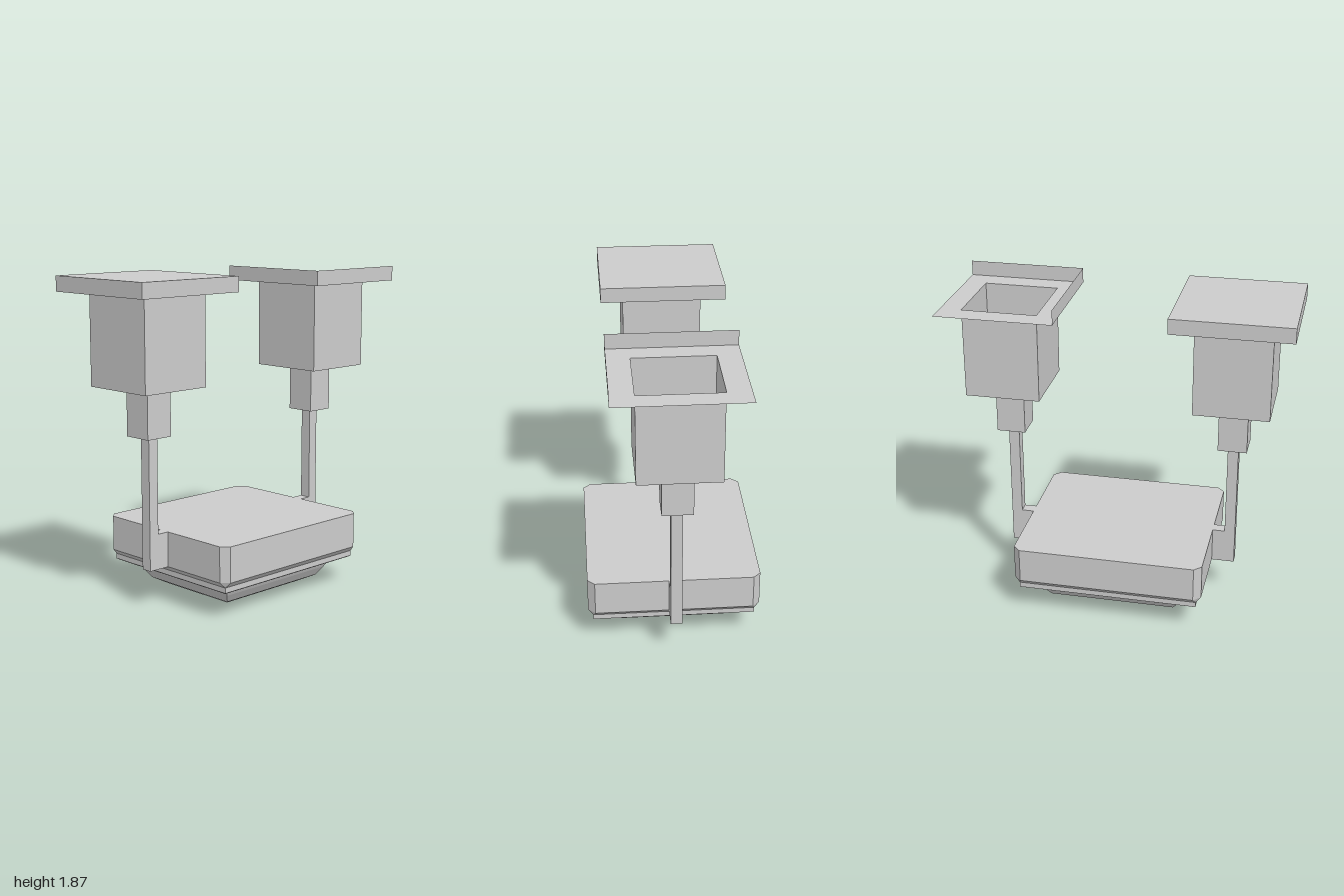
import * as THREE from 'three';

const grey = new THREE.MeshStandardMaterial({ color: 0xcccccc, flatShading: true });
const greyThin = new THREE.MeshStandardMaterial({ color: 0xcccccc, flatShading: true, side: THREE.DoubleSide });

// Rectangle outline at height y; a corner cut c gives an octagon
function ring([hx, hz, y, c = 0]) {
  const pts = [];
  for (const [sx, sz] of [[1, 1], [1, -1], [-1, -1], [-1, 1]]) {
    const alongX = new THREE.Vector3(sx * (hx - c), y, sz * hz);
    const alongZ = new THREE.Vector3(sx * hx, y, sz * (hz - c));
    pts.push(...(sx * sz > 0 ? [alongX, alongZ] : [alongZ, alongX]));
  }
  return pts;
}

// Stack rectangular sections from bottom to top, capped at the ends
function loft(sections, topCap = true) {
  const rings = sections.map(ring);
  const pos = [];
  const tri = (a, b, c) => {
    const area = b.clone().sub(a).cross(c.clone().sub(a)).length();
    if (area > 1e-7) for (const p of [a, b, c]) pos.push(p.x, p.y, p.z);
  };
  for (let r = 0; r < rings.length - 1; r++) {
    const lo = rings[r], up = rings[r + 1];
    for (let i = 0; i < 8; i++) {
      const j = (i + 1) % 8;
      tri(lo[i], lo[j], up[j]);
      tri(lo[i], up[j], up[i]);
    }
  }
  const first = rings[0], last = rings[rings.length - 1];
  for (let i = 1; i < 7; i++) {
    tri(first[0], first[i + 1], first[i]);
    if (topCap) tri(last[0], last[i], last[i + 1]);
  }
  const geo = new THREE.BufferGeometry();
  geo.setAttribute('position', new THREE.Float32BufferAttribute(pos, 3));
  geo.computeVertexNormals();
  return geo;
}

function add(parent, name, geo, x = 0, y = 0, z = 0, mat = grey) {
  const mesh = new THREE.Mesh(geo, mat);
  mesh.name = name;
  mesh.position.set(x, y, z);
  parent.add(mesh);
  return mesh;
}

export function createModel() {
  const model = new THREE.Group();
  model.name = 'twinPostFixture';

  // Housing with cut corners, tapering to the rim plate
  add(model, 'housing', loft([
    [0.525, 0.47, 0.188], [0.555, 0.5, 0.22, 0.042], [0.555, 0.5, 0.425, 0.042],
  ]));
  add(model, 'rimPlate', loft([
    [0.515, 0.46, 0.15], [0.525, 0.47, 0.157], [0.525, 0.47, 0.19],
  ]));

  // Faceted lens below the plate
  add(model, 'lens', loft([
    [0.3, 0.25, 0], [0.37, 0.325, 0.038], [0.405, 0.36, 0.09], [0.44, 0.39, 0.152],
  ]));

  // Post, collar and canister as one stepped profile
  const post = [
    [0.031, 0.033, 0.22], [0.031, 0.033, 0.985],
    [0.084, 0.088, 0.985], [0.084, 0.088, 1.262],
    [0.217, 0.23, 1.262], [0.217, 0.23, 1.783], [0.341, 0.362, 1.783],
  ];
  for (const side of [-1, 1]) {
    const tower = new THREE.Group();
    tower.name = side > 0 ? 'leftTower' : 'rightTower';
    tower.position.x = side * 0.657;
    model.add(tower);
    add(tower, 'bracket', new THREE.BoxGeometry(0.1, 0.205, 0.066), -side * 0.07, 0.3225);

    if (side < 0) {
      add(tower, 'postAndCap', loft([...post, [0.341, 0.362, 1.87]]));
    } else {
      // This tower is open on top, with only two walls of its cap
      add(tower, 'openPost', loft(post, false), 0, 0, 0, greyThin);
      add(tower, 'capFrontWall', new THREE.PlaneGeometry(0.682, 0.087), 0, 1.8265, 0.362, greyThin);
      const inner = add(tower, 'capInnerWall', new THREE.PlaneGeometry(0.724, 0.087), -0.341, 1.8265, 0, greyThin);
      inner.rotation.y = -Math.PI / 2;
    }
  }
  return model;
}
